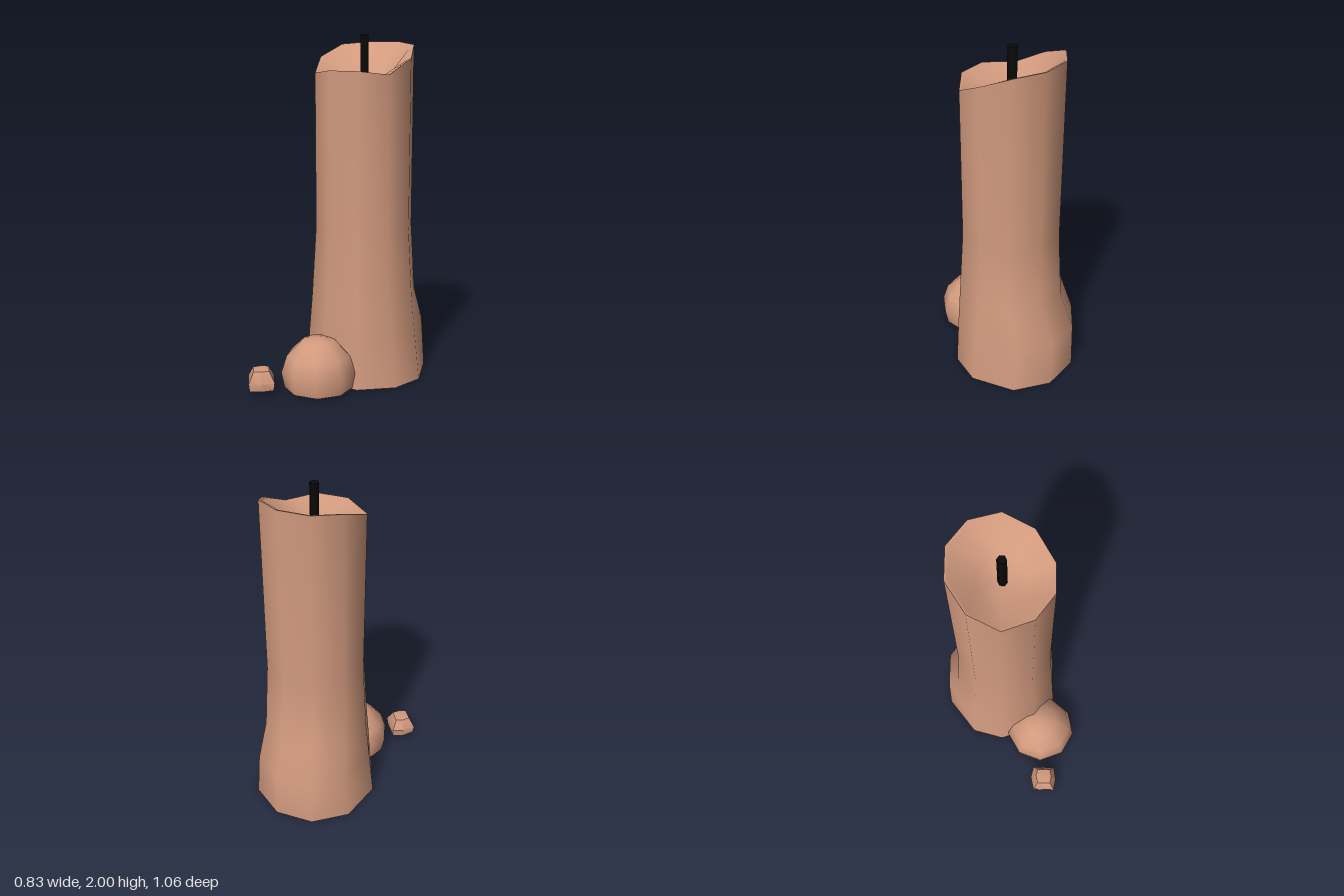
import * as THREE from 'three';
import { toCreasedNormals } from 'three/addons/utils/BufferGeometryUtils.js';

// Skins a stack of point rings, listed from the bottom up; a ring of one point is a pole.
function loft(rings, sides, crease) {
  const pos = [];
  const tri = (...pts) => pts.forEach((p) => pos.push(...p));
  for (let k = 0; k < rings.length - 1; k++) {
    const lo = rings[k], hi = rings[k + 1];
    for (let i = 0; i < sides; i++) {
      const a = lo[i % lo.length], b = lo[(i + 1) % sides % lo.length];
      const d = hi[i % hi.length], c = hi[(i + 1) % sides % hi.length];
      if (hi.length > 1) tri(a, d, c);
      if (lo.length > 1) tri(a, c, b);
    }
  }
  const geo = new THREE.BufferGeometry();
  geo.setAttribute('position', new THREE.Float32BufferAttribute(pos, 3));
  return toCreasedNormals(geo, crease);
}

// Calls fn(cos, sin) at each corner of a regular outline.
function ring(sides, fn, turn = 0) {
  return Array.from({ length: sides }, (_, i) => {
    const t = turn + (i / sides) * Math.PI * 2;
    return fn(Math.cos(t), Math.sin(t));
  });
}

export function createModel() {
  const group = new THREE.Group();
  const wax = new THREE.MeshStandardMaterial({ color: 0xd29a7e });
  const black = new THREE.MeshStandardMaterial({ color: 0x0a0a0a });
  const add = (name, geo, mat) => {
    const mesh = new THREE.Mesh(geo, mat);
    mesh.name = name;
    group.add(mesh);
    return mesh;
  };

  // Candle body: flared foot, slumped back, slanted rim and melted bowl
  const cx = 0.05, cz = -0.145;
  const slump = (r, y, front, back) => ring(10, (c, s) => {
    const w = Math.min(1, Math.abs(s) * 1.7);
    return [cx + r * c, y, cz + r * s + w * (s > 0 ? front : back)];
  });
  // Rim heights from back to front, one per pair of corners
  const rimHeights = [1.96, 1.945, 1.875, 1.79, 1.81];
  const rimY = (s) => rimHeights[s < -0.8 ? 0 : s < -0.3 ? 1 : s < 0.3 ? 2 : s < 0.8 ? 3 : 4];
  const rim = (r, drop) => ring(10, (c, s) => [cx + r * c, rimY(s) - drop, cz + r * s]);
  add('candleBody', loft([
    [[cx, 0, cz]],
    slump(0.365, 0, -0.033, -0.038),
    slump(0.333, 0.29, -0.012, -0.068),
    slump(0.31, 0.5, 0, 0),
    slump(0.285, 0.9, 0, 0),
    rim(0.285, 0),
    rim(0.27, 0.004),
    ring(10, (c, s) => [cx + 0.14 * c, 1.765 - 0.015 * s, cz + 0.14 * s]),
    [[cx, 1.755, cz]],
  ], 10, 0.9), wax);

  // Wick
  const wick = add('wick', new THREE.CylinderGeometry(0.026, 0.026, 0.26, 6, 1, false, Math.PI / 2), black);
  wick.position.set(cx, 1.87, -0.14);

  // Large wax lump leaning against the foot
  const lump = (r, y, dz = 0) => ring(9, (c, s) => [-0.06 + r * c, y, 0.22 + dz + r * s], 0.42);
  add('largeWaxLump', loft([
    [[-0.06, 0.01, 0.22]],
    lump(0.2, 0.01),
    lump(0.217, 0.1),
    lump(0.185, 0.2),
    lump(0.1, 0.283),
    [[-0.06, 0.305, 0.225]],
  ], 9, 1.0), wax);

  // Small stray wax drop, an uneven hexagon
  const outline = [[0.098, 0.013], [0.043, 0.068], [-0.022, 0.098], [-0.097, -0.012], [-0.042, -0.072], [0.023, -0.097]];
  const drop = (k, y) => outline.map(([x, z]) => [-0.318 + k * x, y, 0.432 + k * z]);
  add('smallWaxDrop', loft([
    [[-0.318, 0.028, 0.432]],
    drop(0.93, 0.028),
    drop(1, 0.075),
    drop(0.6, 0.137),
    [[-0.318, 0.145, 0.432]],
  ], 6, 0.6), wax);

  return group;
}
